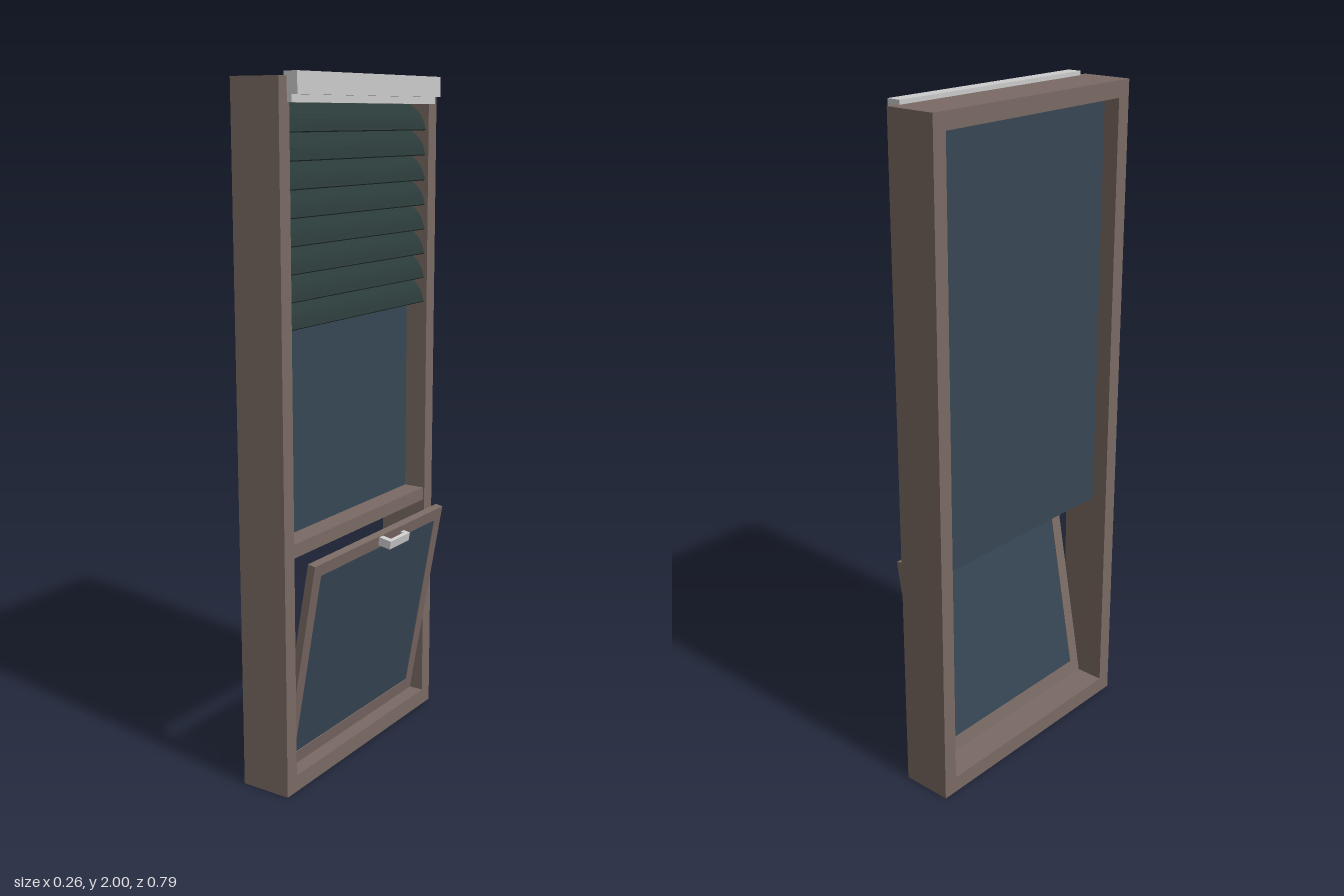
import * as THREE from 'three';

const mat = (color) => new THREE.MeshStandardMaterial({ color });
const wood = mat(0x7a6a64);
const glass = mat(0x374755);
const slatMat = mat(0x2a3a38);
const metal = mat(0xcccccc);

function add(parent, name, geometry, material) {
  const mesh = new THREE.Mesh(geometry, material);
  mesh.name = name;
  parent.add(mesh);
  return mesh;
}

// Box given by its lower and upper limits on each axis
function box(parent, name, material, [x0, x1], [y0, y1], [z0, z1]) {
  const mesh = add(parent, name, new THREE.BoxGeometry(x1 - x0, y1 - y0, z1 - z0), material);
  mesh.position.set((x0 + x1) / 2, (y0 + y1) / 2, (z0 + z1) / 2);
  return mesh;
}

const rect = (target, half, y0, y1) => target
  .moveTo(-half, y0).lineTo(half, y0).lineTo(half, y1).lineTo(-half, y1).closePath();

// Rectangular ring standing in the yz plane, from x0 to x1
function ring(parent, name, material, [x0, x1], outer, inner) {
  const shape = rect(new THREE.Shape(), ...outer);
  shape.holes.push(rect(new THREE.Path(), ...inner));
  const geo = new THREE.ExtrudeGeometry(shape, { depth: x1 - x0, bevelEnabled: false });
  geo.rotateY(Math.PI / 2).translate(x0, 0, 0);
  return add(parent, name, geo, material);
}

// Profile in xy, extruded along z and centred
function bar(parent, name, material, points, halfLength) {
  const shape = new THREE.Shape(points.map(([x, y]) => new THREE.Vector2(x, y)));
  const geo = new THREE.ExtrudeGeometry(shape, { depth: 2 * halfLength, bevelEnabled: false });
  geo.translate(0, 0, -halfLength);
  return add(parent, name, geo, material);
}

export function createModel() {
  const model = new THREE.Group();
  model.name = 'window';

  // Deep outer frame, fixed upper pane and the rail in front of its lower edge
  ring(model, 'outerFrame', wood, [-0.13, 0.025], [0.395, 0, 1.988], [0.35, 0.05, 1.94]);
  box(model, 'upperPane', glass, [-0.08, -0.046], [0.7, 1.94], [-0.35, 0.35]);
  box(model, 'middleRail', wood, [-0.046, 0.02], [0.7, 0.74], [-0.35, 0.35]);

  // Lower sash, hinged at the bottom and tilted outward
  const sash = new THREE.Group();
  sash.name = 'tiltingSash';
  sash.position.set(-0.02, 0.05, 0);
  sash.rotation.z = -THREE.MathUtils.degToRad(10);
  model.add(sash);
  ring(sash, 'sashFrame', wood, [-0.024, 0], [0.348, 0, 0.65], [0.31, 0.043, 0.612]);
  box(sash, 'sashPane', glass, [-0.022, -0.002], [0.043, 0.612], [-0.31, 0.31]);

  // Hooked handle on the sash
  const handle = new THREE.Group();
  handle.name = 'handle';
  sash.add(handle);
  const hy = [0.622, 0.647];
  box(handle, 'handleStem', metal, [0, 0.028], hy, [0, 0.02]);
  box(handle, 'handleGrip', metal, [0.028, 0.04], hy, [-0.087, 0.02]);
  box(handle, 'handleTip', metal, [0.018, 0.028], hy, [-0.087, -0.07]);

  // Stepped head box of the blind
  bar(model, 'blindHeadBox', metal, [
    [0.015, 1.922], [0.04, 1.922], [0.04, 1.942], [0.058, 1.942], [0.058, 2], [0.015, 2],
  ], 0.36);

  // Curved slats, outer edges down
  const blind = new THREE.Group();
  blind.name = 'blind';
  model.add(blind);
  const steps = 6, pitch = 0.0735;
  const top = [], under = [];
  for (let i = 0; i <= steps; i++) {
    const t = i / steps;
    const bulge = 0.012 * Math.sin(Math.PI * t);
    const x = -0.042 + 0.058 * t + bulge * 0.77;
    const y = 0.074 * (1 - t) + bulge * 0.64;
    top.push([x, y]);
    under.unshift([x - 0.003, y - 0.003]);
  }
  for (let i = 0; i < 8; i++) {
    bar(blind, 'slat', slatMat, [...under, ...top], 0.348).position.y = 1.335 + i * pitch;
  }

  return model;
}
